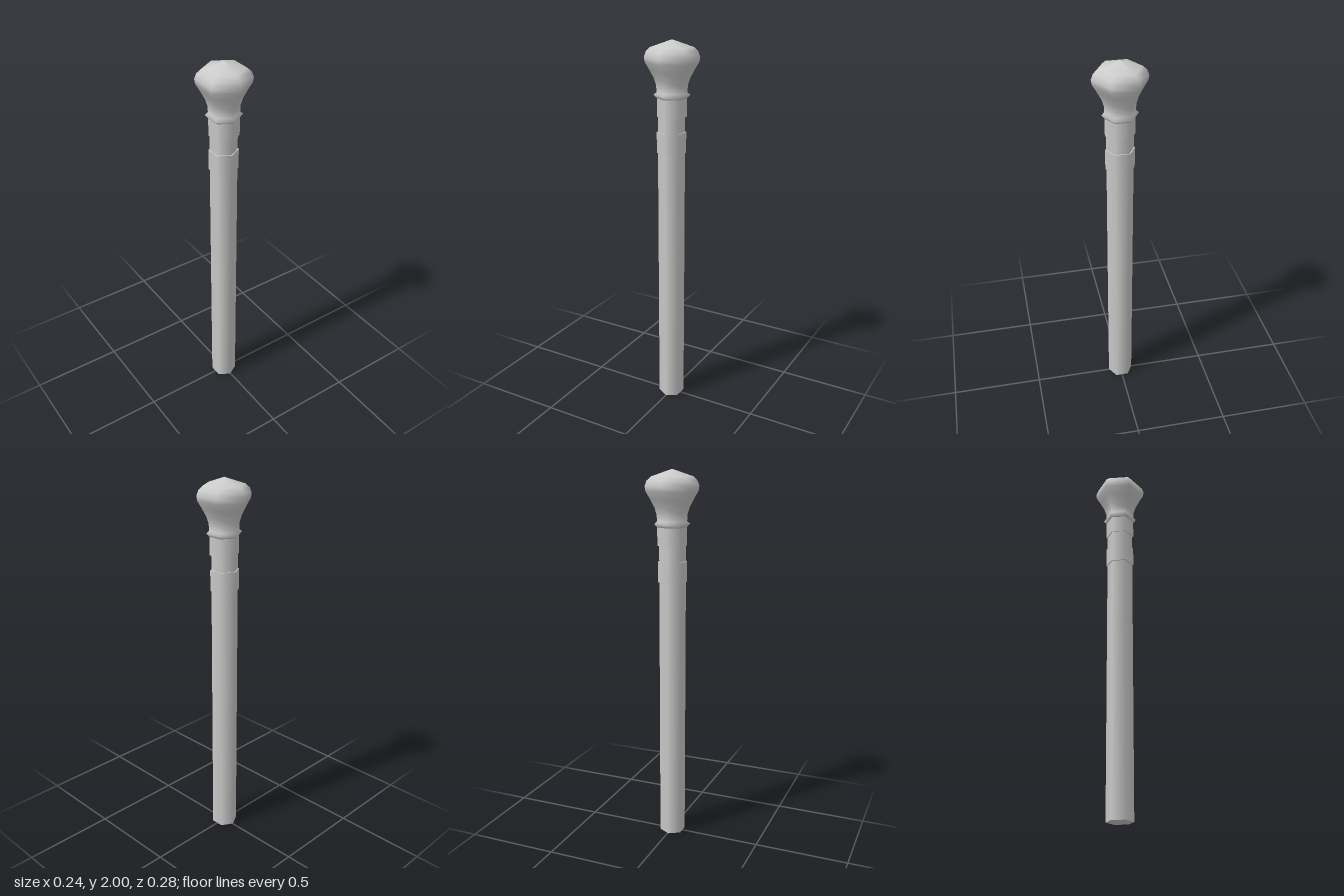
import * as THREE from 'three';

const SIDES = 6;

export function createModel() {
  const group = new THREE.Group();
  const material = new THREE.MeshStandardMaterial({ color: 0xcccccc });

  const add = (name, geometry, x, y) => {
    const mesh = new THREE.Mesh(geometry, material);
    mesh.name = name;
    mesh.position.set(x, y, 0);
    group.add(mesh);
  };

  // Hexagonal prism between two heights, one corner facing the front
  const prism = (name, radius, bottom, top, x = -0.003) =>
    add(name, new THREE.CylinderGeometry(radius, radius, top - bottom, SIDES), x, (bottom + top) / 2);

  prism('shaft', 0.07, 0, 1.65);
  prism('lowerBand', 0.076, 1.425, 1.535);
  prism('collar', 0.077, 1.615, 1.715, 0);

  // Knob with a flared ring at its foot, smooth shaded, profile from bottom to top
  const profile = [
    [0, 1.71], [0.078, 1.71], [0.093, 1.727], [0.078, 1.74], [0.08, 1.775],
    [0.091, 1.81], [0.115, 1.855], [0.136, 1.89], [0.14, 1.915],
    [0.13, 1.943], [0.108, 1.963], [0, 2],
  ].map(([r, y]) => new THREE.Vector2(r, y));
  add('knob', new THREE.LatheGeometry(profile, SIDES), 0, 0);

  return group;
}
